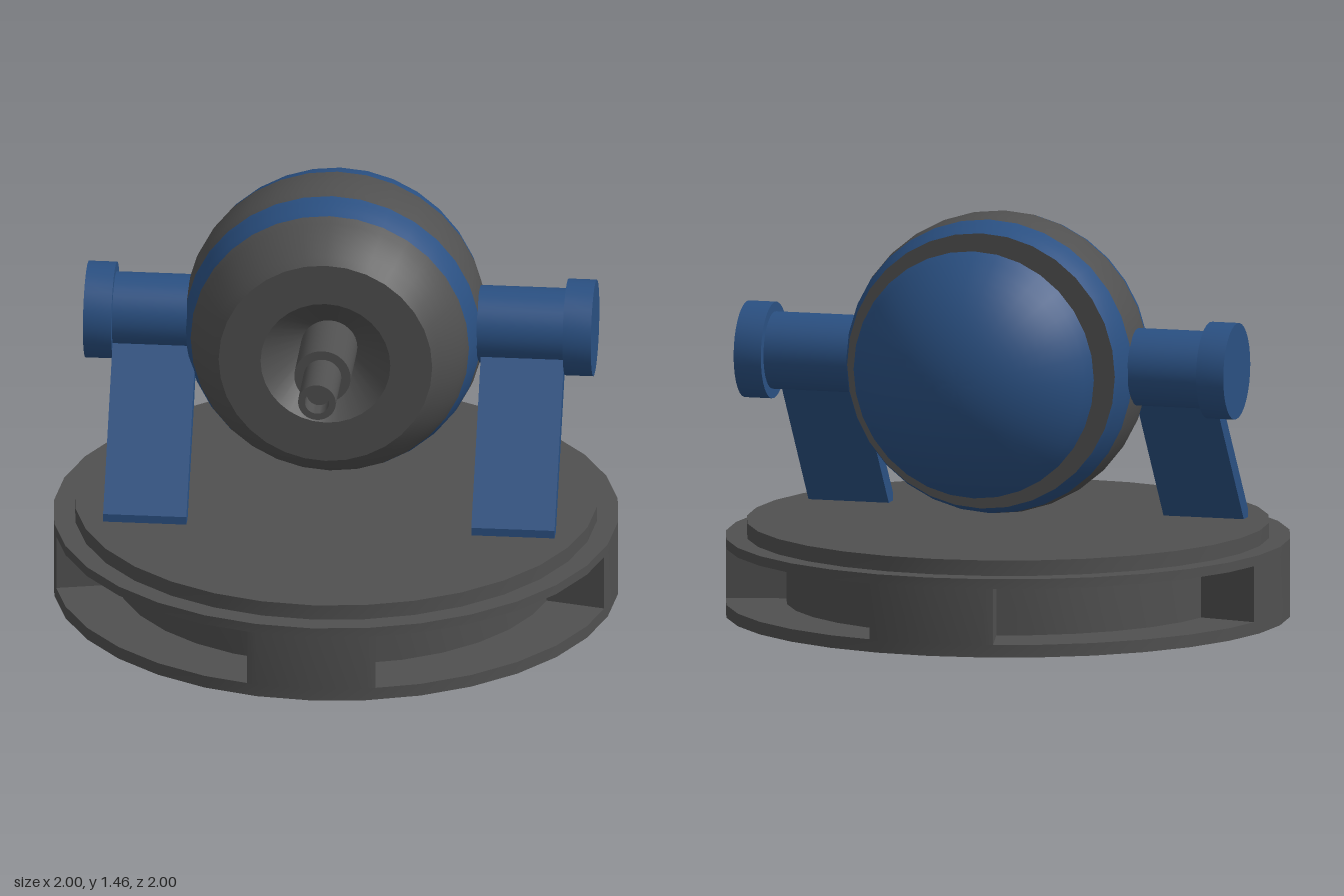
import * as THREE from 'three';
import { toCreasedNormals } from 'three/addons/utils/BufferGeometryUtils.js';

const SIDES = 32;
const grey = new THREE.MeshStandardMaterial({ color: 0x505050 });
const blue = new THREE.MeshStandardMaterial({ color: 0x2a5082 });
const cyan = new THREE.MeshStandardMaterial({ color: 0x10cfe6 });

function part(parent, name, geometry, material) {
  const mesh = new THREE.Mesh(toCreasedNormals(geometry, 0.6), material);
  mesh.name = name;
  parent.add(mesh);
  return mesh;
}

// Surface turned around the z axis; points are [radius, z] from back to front
function turned(points) {
  const profile = points.map(([r, z]) => new THREE.Vector2(r, z));
  return new THREE.LatheGeometry(profile, SIDES).rotateX(Math.PI / 2);
}

// Points on a sphere's outline between two z positions
function arc(R, z0, z1, steps) {
  const a0 = Math.asin(z0 / R), a1 = Math.asin(z1 / R);
  return Array.from({ length: steps + 1 }, (_, i) => {
    const a = a0 + (a1 - a0) * i / steps;
    return [Math.max(0, R * Math.cos(a)), R * Math.sin(a)];
  });
}

function disc(r, y0, y1) {
  return new THREE.CylinderGeometry(r, r, y1 - y0, SIDES).translate(0, (y0 + y1) / 2, 0);
}

// Outline of the base's middle layer: four deep recesses on the diagonals
function recessOutline(inner, half) {
  const step = 2 * Math.PI / SIDES;
  const points = [];
  const add = (a, scale) => {
    const off = a - Math.floor(a / step + 1e-6) * step - step / 2;
    const r = scale * Math.cos(step / 2) / Math.cos(off);
    points.push(new THREE.Vector2(r * Math.cos(a), r * Math.sin(a)));
  };
  for (let q = 0; q < 4; q++) {
    const mid = Math.PI / 4 + q * Math.PI / 2;
    add(mid - Math.PI / 4 - step, 1);
    add(mid - Math.PI / 4, 1);
    add(mid - Math.PI / 4 + step, 1);
    add(mid - half, 1);
    add(mid - half, inner);
    for (let k = -2; k <= 2; k++) add(mid + k * step, inner);
    add(mid + half, inner);
    add(mid + half, 1);
  }
  return new THREE.Shape(points);
}

function buildBase() {
  const base = new THREE.Group();
  base.name = 'base';
  part(base, 'baseBottom', disc(1, 0, 0.045), grey);
  const middle = new THREE.ExtrudeGeometry(recessOutline(0.785, THREE.MathUtils.degToRad(31.8)),
    { depth: 0.2, bevelEnabled: false });
  part(base, 'baseRecesses', middle.rotateX(-Math.PI / 2).translate(0, 0.045, 0), grey);
  part(base, 'baseTop', disc(1, 0.245, 0.28), grey);
  part(base, 'turntable', disc(0.925, 0.28, 0.335), grey);
  return base;
}

function buildSupport(side) {
  const support = new THREE.Group();
  support.name = side > 0 ? 'leftSupport' : 'rightSupport';
  // Axle and its end cap
  const rod = (r, x0, x1) => new THREE.CylinderGeometry(r, r, x1 - x0, SIDES)
    .rotateZ(Math.PI / 2).translate(side * (x0 + x1) / 2, 0.935, -0.203);
  part(support, 'axle', rod(0.137, 0.35, 0.8), blue);
  part(support, 'axleCap', rod(0.171, 0.8, 0.9), blue);
  // Slanted leg plate, side outline as [z, y]
  const outline = [[0.283, 0.334], [0.283, 0.364], [-0.089, 0.858], [-0.163, 0.858], [0.23, 0.334]];
  const shape = new THREE.Shape(outline.map(([z, y]) => new THREE.Vector2(-z, y)));
  const leg = new THREE.ExtrudeGeometry(shape, { depth: 0.295, bevelEnabled: false })
    .rotateY(Math.PI / 2).translate(side > 0 ? 0.505 : -0.8, 0, 0);
  part(support, 'leg', leg, blue);
  return support;
}

function buildHead() {
  const head = new THREE.Group();
  head.name = 'head';
  head.position.set(-0.022, 0.93, -0.207);
  const R = 0.535;

  // Striped shell with a flat back and a conical well in front
  const rear = arc(R, -0.21, -0.103, 4);
  part(head, 'shellBack', turned([[0, -0.21], rear[0]]), grey);
  part(head, 'rearStripe', turned(rear), blue);
  part(head, 'shellMiddle', turned(arc(R, -0.103, 0.105, 6)), grey);
  part(head, 'frontStripe', turned(arc(R, 0.105, 0.207, 4)), blue);
  part(head, 'shellFront', turned([...arc(R, 0.207, 0.378, 6), [0.23, 0.378], [0.09, 0.22], [0, 0.22]]), grey);

  // Stepped barrel with a hollow muzzle
  part(head, 'barrel', turned([
    [0.1, 0.2], [0.1, 0.495], [0.067, 0.495], [0.067, 0.713],
    [0.043, 0.713], [0.043, 0.64], [0, 0.64],
  ]), grey);

  // Glowing collar and rear dome
  part(head, 'glowCollar', turned([[0.355, -0.32], [0.367, -0.295], [0.4, -0.205]]), cyan);
  part(head, 'rearDome', turned([...arc(R, -R, -0.302, 12), [0, -0.302]]), blue);
  return head;
}

export function createModel() {
  const model = new THREE.Group();
  model.name = 'turret';
  model.add(buildBase(), buildSupport(1), buildSupport(-1), buildHead());
  return model;
}
